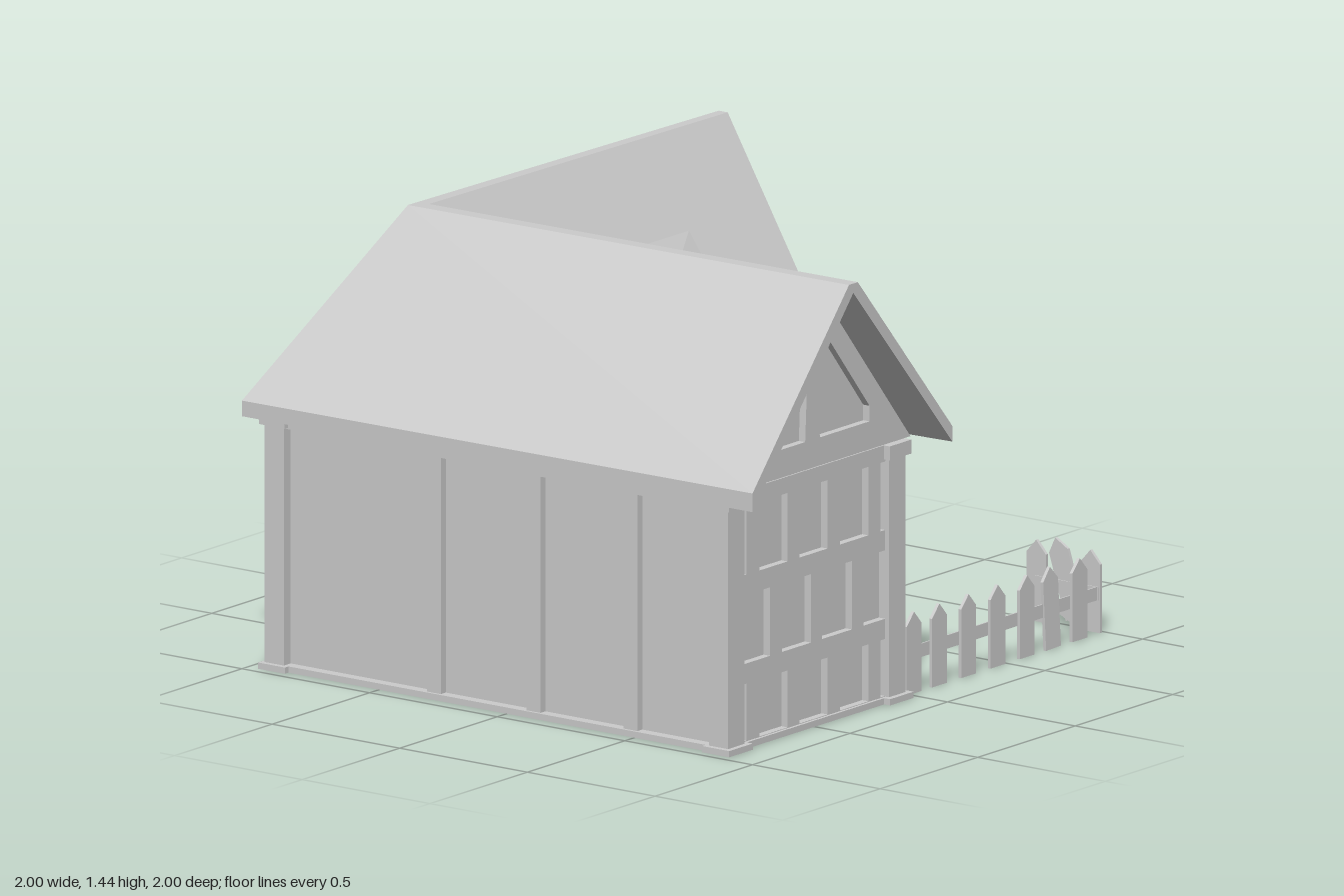
import * as THREE from 'three';

const mat = new THREE.MeshStandardMaterial({ color: 0xcccccc, flatShading: true, side: THREE.DoubleSide });

function add(parent, name, geometry) {
  const mesh = new THREE.Mesh(geometry, mat);
  mesh.name = name;
  parent.add(mesh);
  return mesh;
}

// Box given by its limits on each axis
function box(parent, name, x0, x1, y0, y1, z0, z1) {
  const mesh = add(parent, name, new THREE.BoxGeometry(x1 - x0, y1 - y0, z1 - z0));
  mesh.position.set((x0 + x1) / 2, (y0 + y1) / 2, (z0 + z1) / 2);
  return mesh;
}

// Flat board cut from an outline with optional holes, from depth z outwards
function board(parent, name, pts, z, depth, holes = []) {
  const toVectors = (list) => list.map(([x, y]) => new THREE.Vector2(x, y));
  const shape = new THREE.Shape(toVectors(pts));
  holes.forEach((h) => shape.holes.push(new THREE.Path(toVectors(h))));
  const mesh = add(parent, name, new THREE.ExtrudeGeometry(shape, { depth, bevelEnabled: false }));
  mesh.position.z = z;
  return mesh;
}

const rect = (x0, x1, y0, y1) => [[x0, y0], [x1, y0], [x1, y1], [x0, y1]];

// Wall group turned to face its side: plaster sheet, sill and top beam
function wall(parent, name, turn, u0, u1, depth) {
  const g = new THREE.Group();
  g.name = name;
  g.rotation.y = turn;
  parent.add(g);
  const sheet = add(g, name + 'Plaster', new THREE.ShapeGeometry(
    new THREE.Shape(rect(u0, u1, 0, 0.87).map(([x, y]) => new THREE.Vector2(x, y)))));
  sheet.position.z = depth;
  box(g, 'sill', u0, u1, 0, 0.02, depth, depth + 0.035);
  box(g, 'topBeam', u0, u1, 0.78, 0.83, depth, depth + 0.03);
  return g;
}

// Slanted or upright timber between floor and beam
function timber(g, u0, v0, u1, v1, depth, w = 0.06) {
  const h = w / 2;
  board(g, 'timber', [[u0 - h, v0], [u0 + h, v0], [u1 + h, v1], [u1 - h, v1]], depth, 0.025);
}

// Timber grid with openings listed per row
function grid(g, u0, u1, depth, rows) {
  const holes = rows.flatMap(([y0, y1, spans]) => spans.map(([a, b]) => rect(a, b, y0, y1)));
  board(g, 'timberGrid', rect(u0, u1, 0.005, 0.825), depth, 0.025, holes);
}

// Mitred roof shell lofted through front end, corner and right end
function roof(parent) {
  const stations = [
    [[-1, .81, 1], [-1, .87, 1], [-.505, 1.44, 1], [-.46, 1.44, 1], [.025, .88, 1], [.025, .83, 1], [-.483, 1.41, 1]],
    [[-1, .81, -1], [-1, .86, -1], [-.535, 1.44, -.705], [-.485, 1.44, -.66], [.025, .855, -.225], [.025, .81, -.225], [-.51, 1.41, -.68]],
    [[1, .805, -.985], [1, .86, -.985], [1, 1.44, -.66], [1, 1.44, -.625], [1, .855, -.28], [1, .805, -.28], [1, 1.41, -.643]],
  ];
  const pos = [];
  const tri = (...p) => p.forEach((v) => pos.push(...v));
  for (let s = 0; s < 2; s++) {
    const a = stations[s], b = stations[s + 1];
    for (let i = 0; i < 7; i++) {
      const j = (i + 1) % 7;
      tri(a[i], a[j], b[j]);
      tri(a[i], b[j], b[i]);
    }
  }
  // End edges of the shell
  [stations[0], [...stations[2]]].forEach((p, k) => {
    [[0, 6, 1], [1, 6, 2], [2, 6, 3], [3, 6, 4], [4, 6, 5]].forEach(([a, b, c]) =>
      k ? tri(p[a], p[c], p[b]) : tri(p[a], p[b], p[c]));
  });
  const geo = new THREE.BufferGeometry();
  geo.setAttribute('position', new THREE.Float32BufferAttribute(pos, 3));
  geo.computeVertexNormals();
  add(parent, 'roof', geo);
}

function picket(g, u, lean = 0) {
  const m = board(g, 'picket', [[-.038, 0], [.038, 0], [.038, .22], [0, .262], [-.038, .22]], -0.005, 0.011);
  m.position.x = u;
  m.rotation.z = lean;
  return m;
}

function fence(parent, name, turn, x, z, rail, pickets) {
  const g = new THREE.Group();
  g.name = name;
  g.rotation.y = turn;
  g.position.set(x, 0, z);
  parent.add(g);
  if (rail) box(g, 'rail', rail[0], rail[1], 0.105, 0.148, -0.009, -0.004);
  pickets.forEach((u) => picket(g, u));
  return g;
}

export function createModel() {
  const house = new THREE.Group();
  house.name = 'house';
  const Q = Math.PI / 2;

  // Front wall of the long wing
  const outer = [[-.87, -.84], [-.775, -.63], [-.57, -.425], [-.362, -.215], [-.155, -.13]];
  const front = wall(house, 'frontWall', 0, -0.93, -0.07, 0.83);
  grid(front, -0.93, -0.07, 0.83, [
    [.555, .775, outer],
    [.27, .49, [[-.875, -.72], [-.66, -.51], [-.455, -.3], [-.24, -.13]]],
    [.022, .205, outer],
  ]);

  // Front gable with a divided triangular opening
  board(front, 'frontGableFrame', [[-.97, .83], [0, .83], [-.483, 1.415]], 0.83, 0.025, [
    [[-.79, .92], [-.54, .92], [-.52, 1.3], [-.79, .96]],
    [[-.465, .92], [-.21, .92], [-.21, .97], [-.48, 1.3]],
  ]);
  board(front, 'frontGableBack', [[-.97, .83], [0, .83], [-.483, 1.415]], 0.82, 0.008);

  // Courtyard wall with door (u = -z)
  const yard = wall(house, 'doorWall', Q, -0.84, 0.32, -0.085);
  timber(yard, -.73, .02, -.47, .78, -.085);
  timber(yard, -.02, .78, .235, .08, -.085);
  timber(yard, -.408, .02, -.408, .78, -.085, .065);
  timber(yard, -.088, .02, -.088, .78, -.085, .065);
  const arch = (h, base, spring, rise) => {
    const pts = [[-.248 - h, base], [-.248 + h, base]];
    for (let i = 0; i <= 8; i++) {
      const t = 1 - i / 4;
      pts.push([-.248 + h * t, spring + rise * (1 - t * t)]);
    }
    return pts;
  };
  board(yard, 'doorFrame', arch(.128, .02, .455, .065), -.085, .025, [arch(.108, .04, .445, .055)]);
  board(yard, 'door', arch(.108, .04, .445, .055), -.085, .012);
  add(yard, 'doorKnob', new THREE.SphereGeometry(.009, 8, 6)).position.set(-.172, .19, -.06);

  // Front wall of the side wing
  const side = wall(house, 'sideWingFrontWall', 0, -0.08, 0.83, -0.335);
  const halves = [[.022, .375], [.43, .785]];
  grid(side, -0.08, 0.83, -0.335, [
    [.665, .775, halves],
    [.28, .615, [[.022, .16], [.22, .295], [.325, .47], [.505, .565], [.64, .785]]],
    [.022, .225, halves],
  ]);

  // End wall of the side wing with V bracing (u = -z)
  const end = wall(house, 'sideWingEndWall', Q, 0.33, 0.91, 0.82);
  timber(end, .587, .02, .402, .78, .82);
  timber(end, .657, .02, .843, .78, .82);
  board(end, 'sideGable', [[.3, .82], [.96, .82], [.642, 1.415]], 0.82, 0.02);

  // Back wall with crossed braces (u = -x)
  const back = wall(house, 'backWall', Math.PI, -0.82, 0.92, 0.91);
  timber(back, -.75, .02, .83, .78, .91, .09);
  timber(back, .83, .02, -.75, .78, .91, .09);

  // Outer long wall with upright studs (u = z)
  const long = wall(house, 'longWall', -Q, -0.91, 0.83, 0.92);
  [-.29, .1, .48].forEach((z) => timber(long, z, .02, z, .78, .92, .055));

  // Corner posts with feet and caps
  [
    [-.955, -.87, .795, .87], [-.13, -.045, .795, .87], [-.955, -.87, -.945, -.87],
    [.785, .86, -.945, -.87], [.785, .86, -.375, -.3], [-.07, .018, -.32, -.235],
  ].forEach(([x0, x1, z0, z1]) => {
    const e = 0.013;
    box(house, 'cornerPost', x0, x1, 0, .83, z0, z1);
    box(house, 'postFoot', x0 - e - .005, x1 + e + .005, 0, .02, z0 - e, z1 + e + .005);
    box(house, 'postCap', x0 - e, x1 + e, .785, .83, z0 - e, z1 + e);
  });

  roof(house);

  // Garden fence, broken near the front corner
  const frontFence = fence(house, 'frontFence', 0, 0, 0.848, [-.04, .98], [.02, .15, .3, .45, .6, .87]);
  const loose = picket(frontFence, .735, .03);
  loose.rotation.x = -.03;
  const broken = fence(house, 'brokenFence', Q, .979, 0, null, [-.603]);
  picket(broken, -.815);
  picket(broken, -.755, -.3).position.y = .03;
  board(broken, 'brokenRail', [[-.85, .105], [-.6, .105], [-.6, .148], [-.85, .148]], -.009, .005);
  box(broken, 'fallenRail', -.78, -.66, .03, .07, -.009, -.004).rotation.z = .45;
  fence(house, 'sideFence', Q, .99, 0, [-.025, .29], [.01, .13, .243]);

  return house;
}
